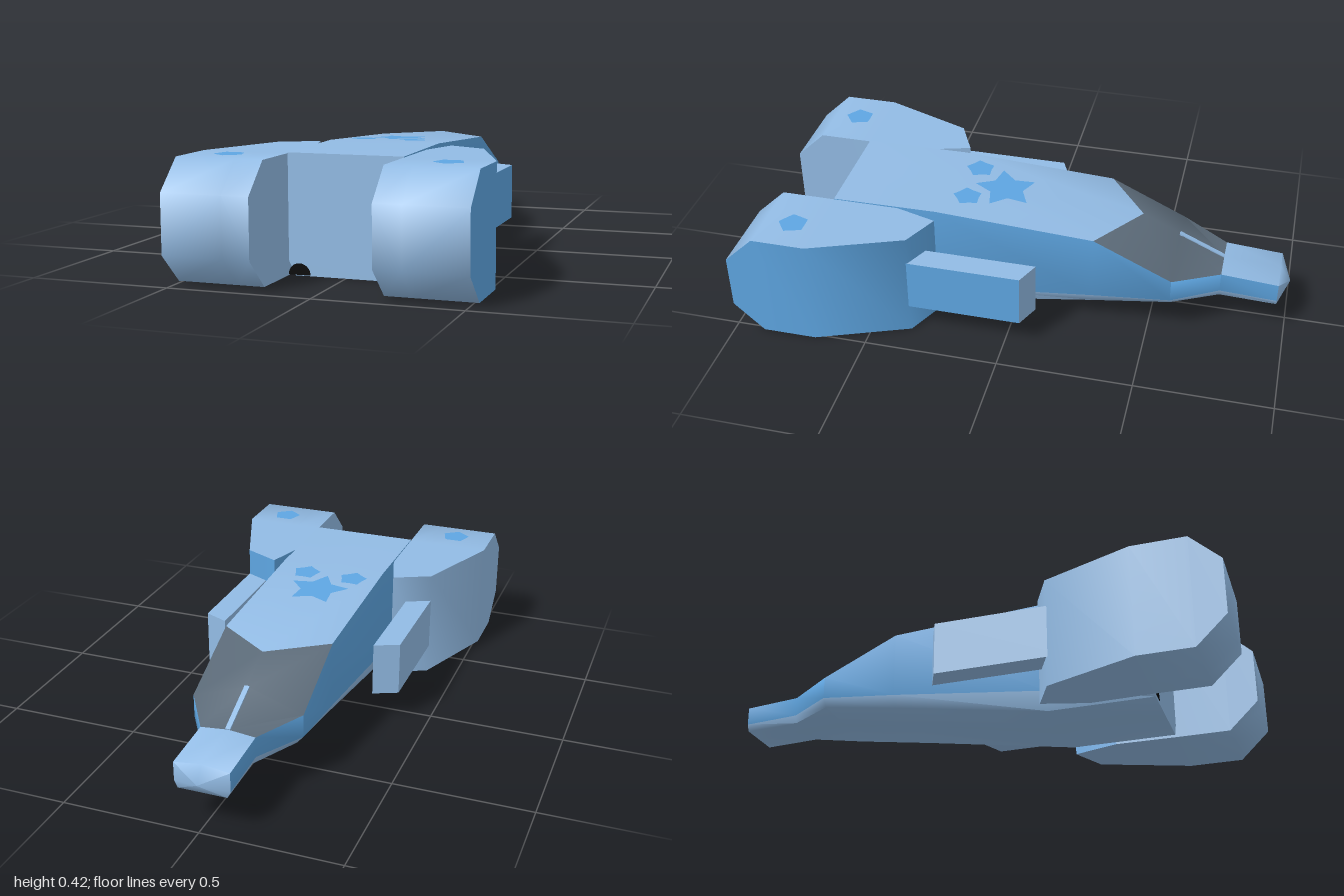
import * as THREE from 'three';
import { toCreasedNormals } from 'three/addons/utils/BufferGeometryUtils.js';

function material(name, color) {
  const m = new THREE.MeshStandardMaterial({ color });
  m.name = name;
  return m;
}

// Skins rings of [x, y, z] points, listed from -z to +z and anticlockwise seen from +z.
// pick(segment, side) gives the material index; segments -1 and 'end' are the caps.
function loft(rings, pick, crease = 1.15) {
  const n = rings[0].length;
  const buckets = [[], [], []];
  const at = (i, j) => i * n + (j % n);
  for (let i = 0; i < rings.length - 1; i++) {
    for (let j = 0; j < n; j++) {
      const a = at(i, j), b = at(i, j + 1), c = at(i + 1, j + 1), d = at(i + 1, j);
      buckets[pick(i, j)].push(a, b, c, a, c, d);
    }
  }
  const last = rings.length - 1;
  for (let k = 1; k < n - 1; k++) {
    buckets[pick(-1, 0)].push(at(0, 1), at(0, k + 2), at(0, k + 1));
    buckets[pick('end', 0)].push(at(last, 1), at(last, k + 1), at(last, k + 2));
  }
  const geo = new THREE.BufferGeometry();
  geo.setAttribute('position', new THREE.Float32BufferAttribute(rings.flat(2), 3));
  geo.setIndex(buckets.flat());
  let start = 0;
  buckets.forEach((b, m) => {
    if (b.length) geo.addGroup(start, b.length, m);
    start += b.length;
  });
  return toCreasedNormals(geo, crease);
}

// Mirrors a ring to the -x side while keeping its winding
const sided = (ring, s) => (s > 0 ? ring : ring.map(([x, y, z]) => [-x, y, z]).reverse());

export function createModel() {
  const group = new THREE.Group();
  const light = material('paleBlue', 0x92bbe4);
  const blue = material('brightBlue', 0x5ea6e2);
  const glass = material('darkGrey', 0x5b6a78);
  const black = material('black', 0x000000);
  const paint = [light, blue, glass];
  const add = (name, geo, mat) => {
    const mesh = new THREE.Mesh(geo, mat);
    mesh.name = name;
    group.add(mesh);
    return mesh;
  };

  // Fuselage: half width, bottom, lower side, top edge, top centre, z, z of top centre
  const sections = [
    [0, 0.18, 0.18, 0.18, 0.18, -1, -1],
    [0.1, 0.13, 0.155, 0.225, 0.238, -0.96, -0.96],
    [0.1, 0.137, 0.165, 0.24, 0.25, -0.75, -0.75],
    [0.205, 0.142, 0.17, 0.255, 0.327, -0.58, -0.58],
    [0.205, 0.097, 0.14, 0.39, 0.393, -0.29, -0.44],
    [0.205, 0, 0.07, 0.422, 0.422, 0.3, 0.3],
    [0.205, 0, 0.05, 0.418, 0.418, 0.69, 0.69],
  ];
  const hullRings = sections.map(([w, b, m, t, tc, z, zc]) => {
    const v = w * 0.88;
    return [[0, b, z], [v, b, z], [w, m, z], [w, t, z], [0, tc, zc], [-w, t, z], [-w, m, z], [-v, b, z]];
  });
  const hullPaint = (i, j) => {
    if (i < 1 || i === 'end') return 0;
    if (j === 2 || j === 5) return 1;
    return (j === 3 || j === 4) && (i === 2 || i === 3) ? 2 : 0;
  };
  add('fuselage', loft(hullRings, hullPaint), paint);

  // Thin divider on the canopy
  const divider = add('canopyDivider', new THREE.BoxGeometry(0.018, 0.006, 0.187), light);
  divider.position.set(0, 0.289, -0.665);
  divider.rotation.x = -Math.atan2(0.077, 0.17);

  for (const s of [1, -1]) {
    const side = s > 0 ? 'left' : 'right';

    // Engine: inner x and z, middle x and z, outer x and z, bottom, top
    const engineRings = [
      [0.2, 0.46, 0.25, 0.29, 0.385, 0.355, 0, 0.415],
      [0.205, 0.69, 0.3, 0.69, 0.515, 0.69, 0, 0.415],
      [0.205, 0.89, 0.3, 0.89, 0.515, 0.89, 0, 0.415],
      [0.205, 1, 0.3, 1, 0.515, 1, 0.105, 0.31],
    ].map(([xi, zi, xm, zm, xo, zo, b, t]) => sided([
      [xi, b, zi], [xm, b, zm], [xo, b, zo], [xo, t, zo], [xm, t, zm], [xi, t, zi],
    ], s));
    const enginePaint = (i, j) => (s > 0 && (i === -1 || (i !== 'end' && j === 2)) ? 1 : 0);
    add(side + 'Engine', loft(engineRings, enginePaint), paint);

    // Gun pod with a slanted front
    const podRings = [[-0.1, -0.06], [0.42, 0.42]].map(([zi, zo]) => sided([
      [0.297, 0.11, zi], [0.387, 0.11, zo], [0.387, 0.31, zo], [0.297, 0.31, zi],
    ], s));
    const podPaint = (i, j) => (s > 0 && i === 0 && j === 1 ? 1 : 0);
    add(side + 'Pod', loft(podRings, podPaint, 0.6), paint);
  }

  // Painted star-shaped marks on the upper surfaces
  const mark = (name, x, y, z, outer, inner, tilt) => {
    const shape = new THREE.Shape();
    for (let k = 0; k < 10; k++) {
      const r = k % 2 ? inner : outer;
      const a = (k / 10) * Math.PI * 2;
      const p = [Math.sin(a) * r, -Math.cos(a) * r];
      if (k) shape.lineTo(...p);
      else shape.moveTo(...p);
    }
    const geo = new THREE.ShapeGeometry(shape);
    geo.rotateX(-Math.PI / 2);
    const mesh = add(name, geo, blue);
    mesh.position.set(x, y, z);
    mesh.rotation.x = -tilt;
  };
  mark('largeMark', -0.01, 0.416, 0.085, 0.118, 0.064, 0.045);
  mark('smallMarkRight', -0.11, 0.422, 0.21, 0.055, 0.042, 0.045);
  mark('smallMarkLeft', 0.08, 0.422, 0.21, 0.055, 0.042, 0.045);
  mark('engineMarkRight', -0.37, 0.419, 0.79, 0.055, 0.045, 0);
  mark('engineMarkLeft', 0.385, 0.419, 0.78, 0.055, 0.045, 0);

  // Black half-round patch low on the rear wall
  add('rearPatch', new THREE.CircleGeometry(0.04, 16, 0, Math.PI), black).position.set(-0.165, 0.003, 0.694);

  return group;
}
